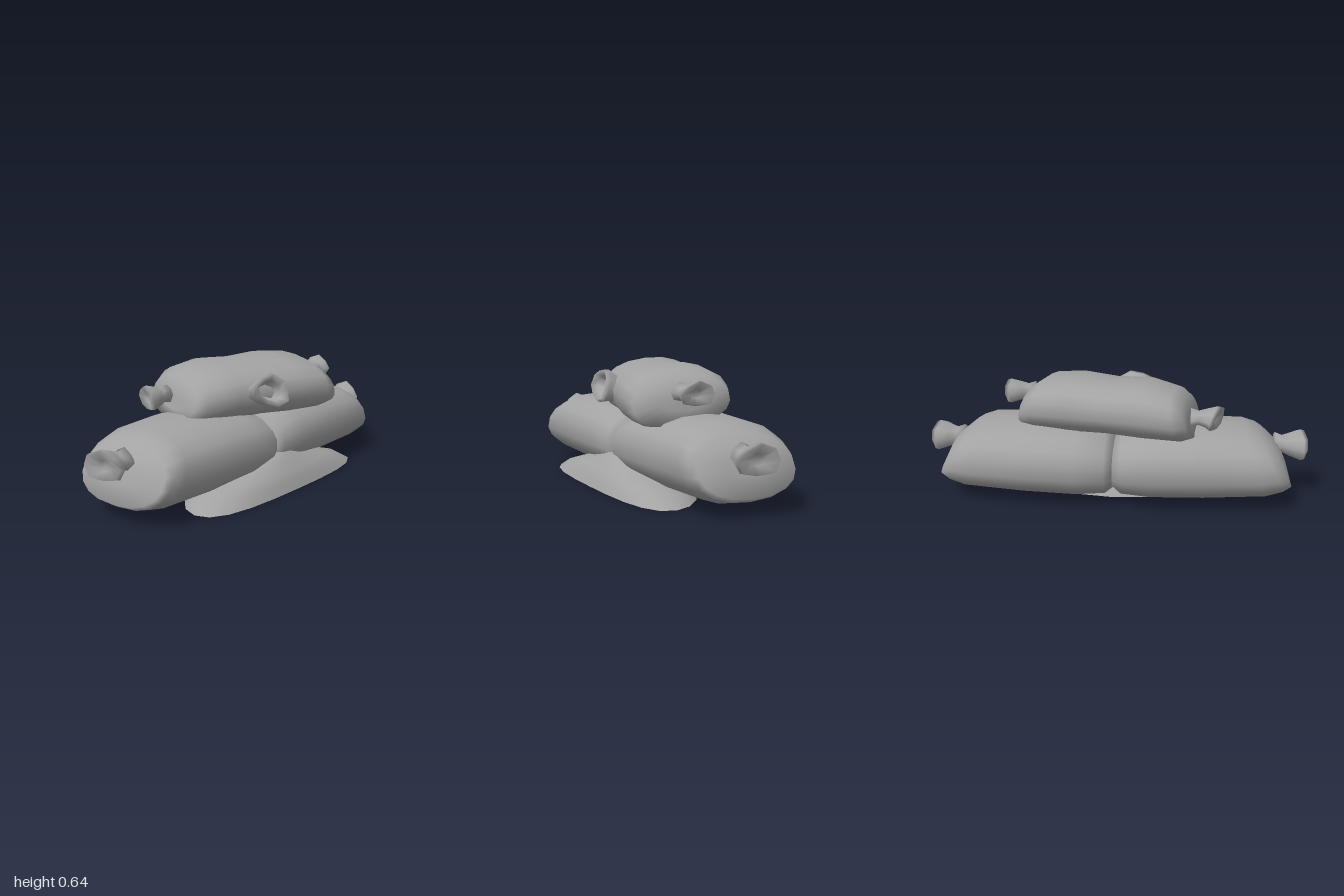
import * as THREE from 'three';

const cloth = new THREE.MeshStandardMaterial({ color: 0xa3a3a3, side: THREE.DoubleSide });
cloth.name = 'grey';

// Skin over cross-sections along x. Station: [x, yc, hy, zc, hz, slant, skew]
function loft(stations, { sides = 18, power = 2.3, crinkle = 0, openStart = false } = {}) {
  const pos = [], idx = [];
  const soft = (v) => Math.sign(v) * Math.abs(v) ** (2 / power);
  stations.forEach(([x, yc, hy, zc, hz, slant = 0, skew = 0]) => {
    for (let j = 0; j < sides; j++) {
      const a = (j / sides) * Math.PI * 2;
      const k = 1 + crinkle * Math.cos(3 * a + 0.6);
      const y = soft(Math.cos(a)) * k, z = soft(Math.sin(a)) * k;
      pos.push(x - slant * y - skew * z, yc + hy * y, zc + hz * z);
    }
  });
  for (let i = 0; i < stations.length - 1; i++) {
    for (let j = 0; j < sides; j++) {
      const a = i * sides + j, b = i * sides + (j + 1) % sides;
      idx.push(a, b, a + sides, b, b + sides, a + sides);
    }
  }
  const last = stations.length - 1, c = pos.length / 3;
  for (const s of [stations[0], stations[last]]) pos.push(s[0], s[1], s[3]);
  for (let j = 0; j < sides; j++) {
    const n = (j + 1) % sides, o = last * sides;
    if (!openStart) idx.push(c, n, j);
    idx.push(c + 1, o + j, o + n);
  }
  const g = new THREE.BufferGeometry();
  g.setAttribute('position', new THREE.Float32BufferAttribute(pos, 3));
  g.setIndex(idx);
  g.computeVertexNormals();
  return g;
}

function part(name, geometry, parent) {
  const m = new THREE.Mesh(geometry, cloth);
  m.name = name;
  parent.add(m);
  return m;
}

// Gathered neck with a flared, hollow mouth, pointing along +x
function tie(parent, name, x, y, z, size, angle = 0) {
  const m = part(name, loft([
    [-0.03, 0, 0.055, 0, 0.065], [0.008, 0, 0.042, 0, 0.048], [0.045, 0, 0.055, 0, 0.072],
    [0.09, 0, 0.072, 0, 0.1, -0.01, 0.025], [0.11, 0, 0.068, 0, 0.09, -0.01, 0.025],
    [0.085, 0, 0.025, 0, 0.035],
  ], { sides: 8, power: 2, crinkle: 0.1 }), parent);
  m.position.set(x, y, z);
  m.rotation.y = angle;
  m.scale.set(1, size, size);
}

export function createModel() {
  const model = new THREE.Group();
  model.name = 'sandbagPile';

  // Two lower bags, mirrored end to end
  for (const side of [1, -1]) {
    const bag = new THREE.Group();
    bag.name = side > 0 ? 'leftLowerBag' : 'rightLowerBag';
    part('lowerBagBody', loft([
      [-0.01, 0.2, 0.07, -0.04, 0.17],
      [-0.005, 0.205, 0.125, -0.04, 0.26],
      [0.04, 0.21, 0.168, -0.045, 0.29],
      [0.19, 0.225, 0.19, -0.05, 0.318],
      [0.45, 0.225, 0.19, -0.04, 0.308, 0.02],
      [0.73, 0.227, 0.18, -0.025, 0.292, 0.06, 0.01],
      [0.81, 0.226, 0.154, -0.015, 0.278, 0.068, 0.015],
      [0.85, 0.226, 0.13, -0.01, 0.25, 0.065, 0.025],
      [0.865, 0.25, 0.06, 0, 0.12, 0.025, 0.015],
    ]), bag);
    tie(bag, 'lowerBagTie', 0.865, side > 0 ? 0.275 : 0.292, side > 0 ? 0.01 : -0.005, 1.05);
    bag.scale.x = side;
    model.add(bag);
  }

  // Upper bag lying askew across the joint, its front edge sagging
  const upper = new THREE.Group();
  upper.name = 'upperBag';
  upper.position.set(0.02, 0.498, -0.035);
  upper.rotation.set(0.1, -0.2, 0);
  part('upperBagBody', loft([
    [-0.43, -0.03, 0.05, -0.02, 0.1, -0.01],
    [-0.425, -0.028, 0.1, -0.02, 0.19, -0.03],
    [-0.37, -0.02, 0.13, -0.02, 0.23, -0.025],
    [-0.2, -0.004, 0.147, -0.01, 0.252],
    [0, -0.004, 0.14, 0, 0.252],
    [0.18, 0, 0.15, 0.01, 0.268],
    [0.36, -0.004, 0.14, 0.02, 0.272, 0.02],
    [0.43, -0.015, 0.112, 0.02, 0.25, 0.03],
    [0.445, -0.005, 0.05, 0.01, 0.12, 0.01],
  ]), upper);
  model.add(upper);
  tie(model, 'upperBagTieLeft', 0.475, 0.522, 0.08, 0.85, 0.15);
  tie(model, 'upperBagTieRight', -0.42, 0.49, -0.195, 0.85, Math.PI - 0.05);

  // Torn opening on the front of the upper bag
  const lip = loft([
    [-0.06, 0, 0.06, 0, 0.09], [0, 0, 0.068, 0, 0.1], [0.05, 0, 0.085, 0, 0.122],
    [0.075, 0, 0.078, 0, 0.11], [0.05, 0, 0.052, 0, 0.08], [0, 0, 0.036, 0, 0.055],
  ], { sides: 9, power: 2, crinkle: 0.1 });
  lip.rotateY(-Math.PI / 2);
  const tear = part('tornOpening', lip, model);
  tear.position.set(-0.075, 0.5, 0.19);
  tear.rotation.set(-0.3, -0.1, -0.3);

  // Spilled sand: a thin low mound, open underneath
  const sand = loft([
    [0.003, -0.01, 0.615, 0.112, 0.252], [0.05, -0.01, 0.535, 0.115, 0.228],
    [0.09, -0.01, 0.4, 0.135, 0.185], [0.13, -0.01, 0.22, 0.145, 0.13],
    [0.163, -0.03, 0.11, 0.15, 0.1], [0.171, -0.03, 0.05, 0.15, 0.05],
  ], { sides: 20, power: 2.05, openStart: true });
  sand.rotateZ(Math.PI / 2);
  // Bow the mound so that its tips reach forward
  const p = sand.attributes.position;
  for (let i = 0; i < p.count; i++) p.setZ(i, p.getZ(i) + 0.25 * p.getX(i) ** 2);
  sand.computeVertexNormals();
  part('sandMound', sand, model);

  return model;
}
